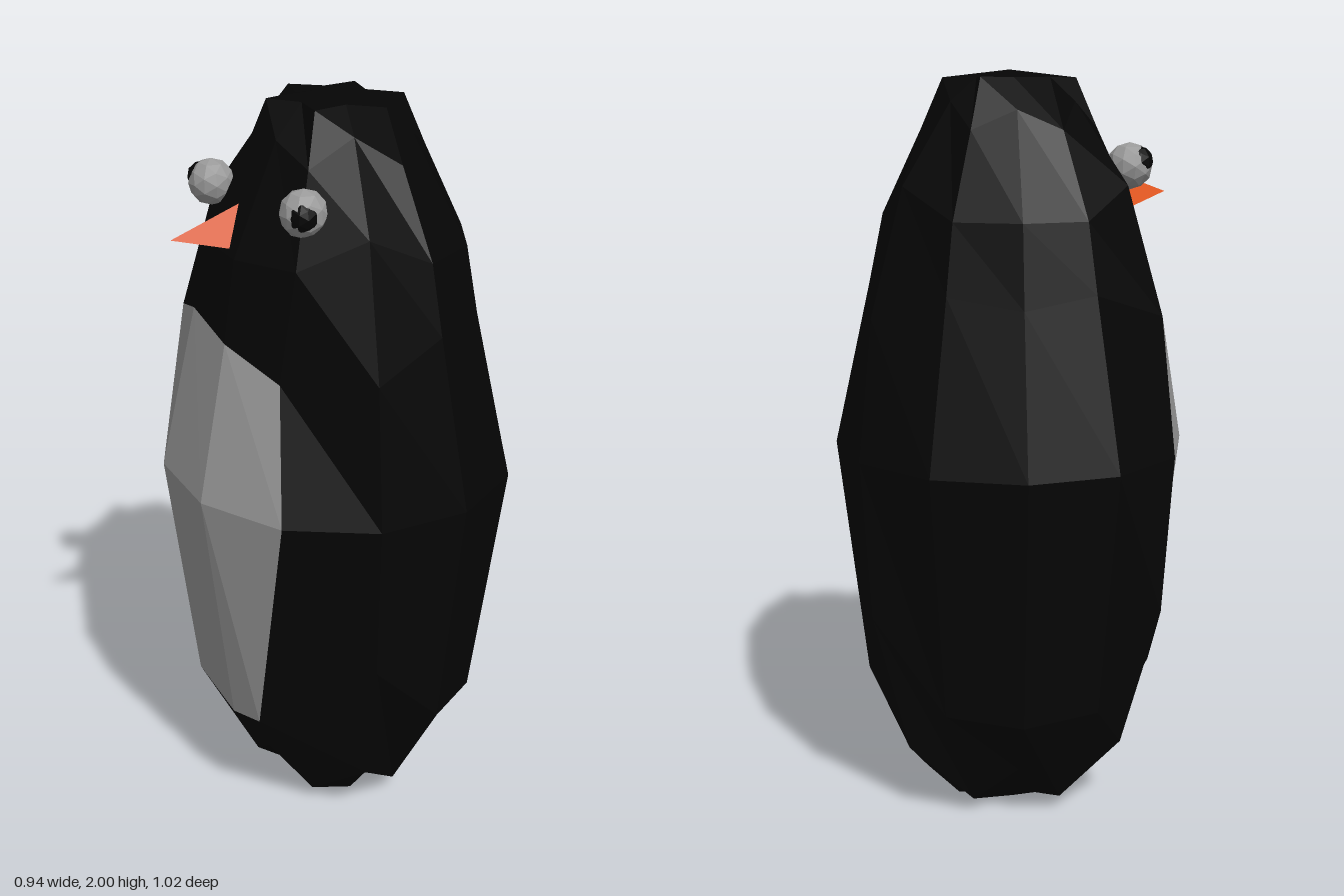
import * as THREE from 'three';
import { ConvexGeometry } from 'three/addons/geometries/ConvexGeometry.js';

const material = (color) => new THREE.MeshStandardMaterial({ color, flatShading: true });
const black = material(0x050505);
const pale = material(0x999999);
const orange = material(0xda5010);

// Three kinds of meridian alternate around the body: ridge, side, corner, side.
// Each lists [relative radius, height] from the base to the crown.
const RIDGE = [[0.37, 0], [0.71, 0.18], [0.94, 0.58], [1, 1.01], [0.91, 1.38], [0.7, 1.71], [0.39, 1.92], [0.22, 1.98]];
const CORNER = [[0.25, 0], [0.5, 0.14], [0.82, 0.33], [1, 1.01], [0.8, 1.42], [0.72, 1.63], [0.42, 1.9], [0.24, 1.98]];
const SIDE = [[0.26, 0], [0.5, 0.04], [0.84, 0.35], [1, 1.01], [0.79, 1.45], [0.71, 1.63], [0.49, 1.85], [0.37, 1.98]];
const PROFILES = [SIDE, CORNER, SIDE, RIDGE];
const RINGS = RIDGE.length;
const SIDES = 12;
const BELLY = { first: 4, last: 6, bottom: 2, top: 3 };

function ringPoint(ring, index) {
  const side = index % SIDES;
  let [radius, y] = PROFILES[side % 4][ring];
  let degrees = 6 + side * 30;
  // Slant the front edge of the belly
  if (side === BELLY.first && ring === BELLY.bottom) degrees += 15;
  if (side === BELLY.first && ring === BELLY.top + 1) {
    degrees += 5;
    y = 1.35;
  }
  const a = THREE.MathUtils.degToRad(degrees);
  return [0.475 * radius * Math.cos(a), y, 0.515 * radius * Math.sin(a)];
}

function meshFrom(name, positions, mat) {
  const geometry = new THREE.BufferGeometry();
  geometry.setAttribute('position', new THREE.Float32BufferAttribute(positions, 3));
  geometry.computeVertexNormals();
  const mesh = new THREE.Mesh(geometry, mat);
  mesh.name = name;
  return mesh;
}

// Faceted body skin, with the belly panel split off as its own mesh
function createSkin() {
  const body = [], belly = [];
  const last = RINGS - 1;
  for (let side = 0; side < SIDES; side++) {
    for (let ring = 0; ring < last; ring++) {
      const onBelly = side >= BELLY.first && side <= BELLY.last
        && ring >= BELLY.bottom && ring <= BELLY.top;
      // The lower back corner of the panel is cut off diagonally
      const cut = side === BELLY.last && ring === BELLY.bottom;
      const a = ringPoint(ring, side), b = ringPoint(ring, side + 1);
      const c = ringPoint(ring + 1, side + 1), d = ringPoint(ring + 1, side);
      (onBelly ? belly : body).push(...a, ...d, ...c);
      (onBelly && !cut ? belly : body).push(...a, ...c, ...b);
    }
    // Crown and flat base
    body.push(...ringPoint(last, side), 0, 2, 0, ...ringPoint(last, side + 1));
    body.push(...ringPoint(0, side + 1), 0, 0, 0, ...ringPoint(0, side));
  }
  return [meshFrom('body', body, black), meshFrom('belly', belly, pale)];
}

// Faceted eyeball with a pupil bulging out along the gaze
function createEye(name, position, gaze) {
  const eye = new THREE.Group();
  eye.name = name;
  eye.position.set(...position);
  const ball = new THREE.Mesh(new THREE.IcosahedronGeometry(0.061, 1), pale);
  ball.name = 'eyeball';
  const pupil = new THREE.Mesh(new THREE.IcosahedronGeometry(0.04, 1), black);
  pupil.name = 'pupil';
  pupil.position.set(...gaze).setLength(0.027);
  eye.add(ball, pupil);
  return eye;
}

export function createModel() {
  const model = new THREE.Group();
  model.name = 'penguin';
  model.add(...createSkin());

  model.add(createEye('leftEye', [-0.16, 1.757, 0.24], [-0.3, 0, 0.95]));
  model.add(createEye('rightEye', [-0.295, 1.755, -0.125], [-0.65, 0.4, -0.5]));

  // Three-sided beak
  const corners = [[-0.455, 1.675, 0.09], [-0.265, 1.745, 0.055], [-0.265, 1.635, 0.11], [-0.305, 1.63, -0.02]];
  const beak = new THREE.Mesh(new ConvexGeometry(corners.map((p) => new THREE.Vector3(...p))), orange);
  beak.name = 'beak';
  model.add(beak);
  return model;
}
